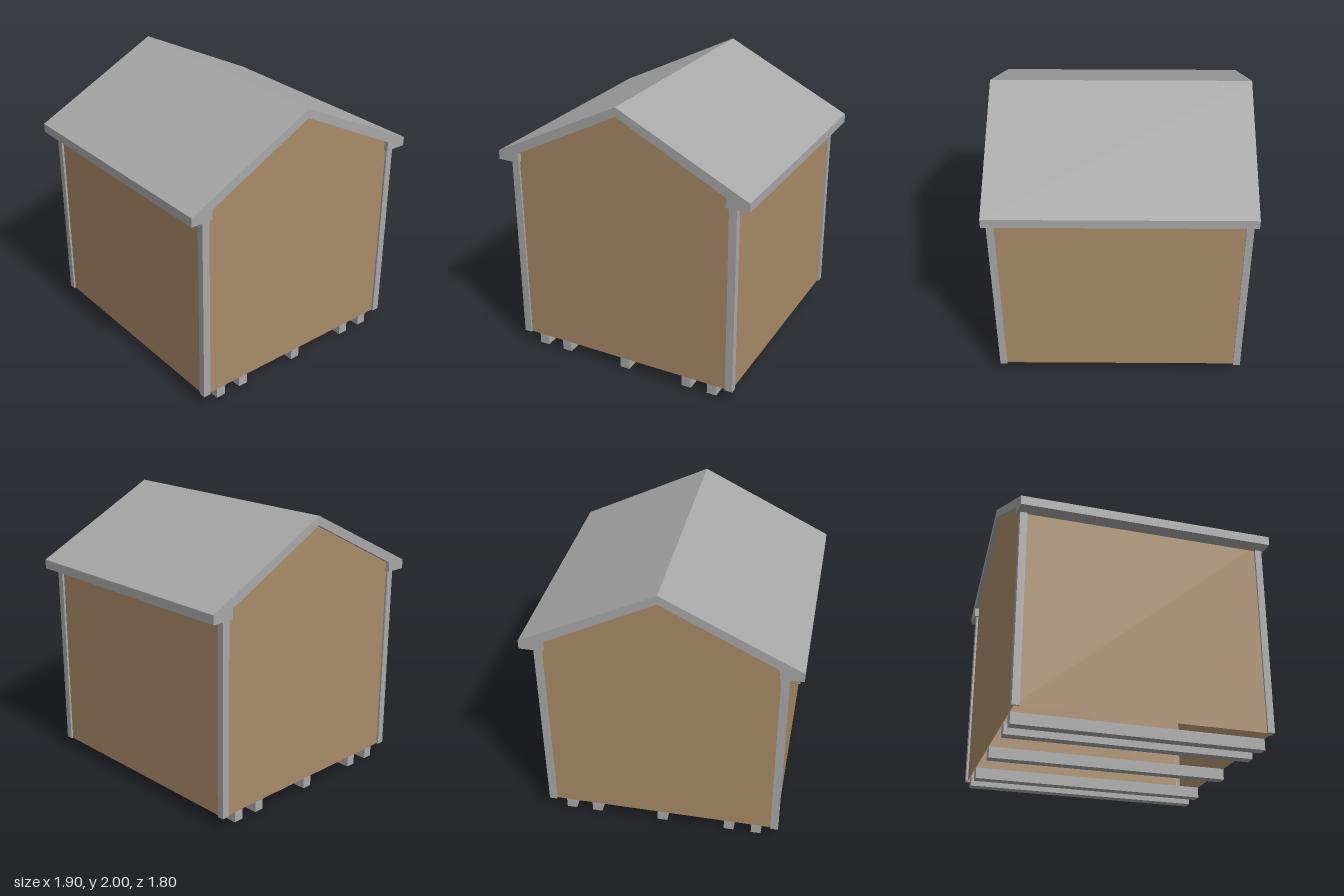
import * as THREE from 'three';

const WALL_X = 0.84, WALL_Z = 0.87, BASE = 0.08, EAVE = 1.465;

const shapeOf = pts => new THREE.Shape(pts.map(p => new THREE.Vector2(p[0], p[1])));

export function createModel() {
  const trim = new THREE.MeshStandardMaterial({ color: 0xa8a8a8 });
  trim.name = 'grey trim';
  const wood = new THREE.MeshStandardMaterial({ color: 0xa98b68, side: THREE.DoubleSide });
  wood.name = 'tan wood';

  const group = new THREE.Group();
  group.name = 'shed';
  const add = (name, geometry, material, x = 0, y = 0, z = 0) => {
    const mesh = new THREE.Mesh(geometry, material);
    mesh.name = name;
    mesh.position.set(x, y, z);
    group.add(mesh);
    return mesh;
  };

  // Gabled roof with boxed eaves, hollow underneath
  const roof = new THREE.ExtrudeGeometry(shapeOf([
    [-0.95, EAVE], [-0.79, EAVE], [-0.79, 1.535], [0, 1.935], [0.785, 1.535],
    [0.785, EAVE], [0.95, EAVE], [0.95, 1.53], [0, 2], [-0.95, 1.53],
  ]), { depth: 1.805, bevelEnabled: false });
  add('roof', roof, trim, 0, 0, -0.9025);

  // Thin gable walls, front and back, tucked into the roof
  const gable = shapeOf([
    [-WALL_X, BASE], [WALL_X, BASE], [WALL_X, 1.53], [0, 1.95], [-WALL_X, 1.53],
  ]);
  add('frontWall', new THREE.ShapeGeometry(gable), wood, 0, 0, WALL_Z);
  add('backWall', new THREE.ShapeGeometry(gable), wood, 0, 0, -WALL_Z).rotation.y = Math.PI;

  // Side walls
  const wallHeight = 1.53 - BASE;
  for (const s of [1, -1]) {
    const wall = add(s > 0 ? 'leftWall' : 'rightWall',
      new THREE.PlaneGeometry(2 * WALL_Z, wallHeight), wood,
      s * WALL_X, BASE + wallHeight / 2, 0);
    wall.rotation.y = s * Math.PI / 2;
  }

  // L-shaped corner boards wrapped around the wall corners
  for (const sx of [1, -1]) for (const sz of [1, -1]) {
    const pts = [
      [0.80, WALL_Z], [WALL_X, WALL_Z], [WALL_X, 0.835],
      [0.855, 0.835], [0.855, 0.885], [0.80, 0.885],
    ].map(([x, z]) => [sx * x, -sz * z]);
    const board = new THREE.ExtrudeGeometry(shapeOf(pts),
      { depth: EAVE - BASE + 0.01, bevelEnabled: false });
    board.rotateX(-Math.PI / 2);
    add('cornerBoard', board, trim, 0, BASE, 0);
  }

  // Floor skids
  for (const x of [-0.695, -0.495, 0, 0.495, 0.692]) {
    add('skid', new THREE.BoxGeometry(0.072, BASE, 1.735), trim, x, BASE / 2, 0);
  }

  return group;
}
